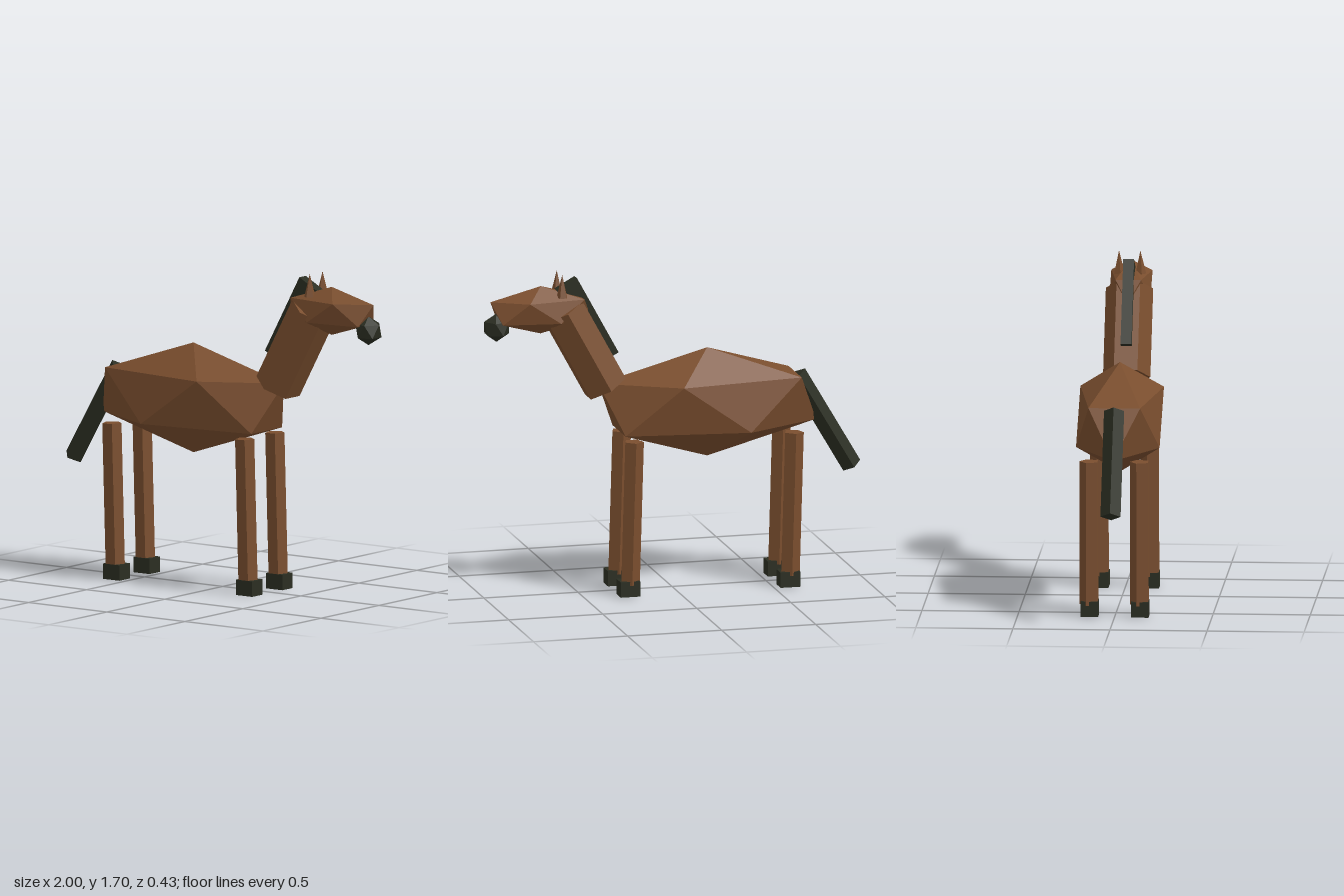
import * as THREE from 'three';

export function createModel() {
  const model = new THREE.Group();
  const coat = new THREE.MeshStandardMaterial({ color: 0x7a4e2e, flatShading: true });
  coat.name = 'brown coat';
  const dark = new THREE.MeshStandardMaterial({ color: 0x2b2e22, flatShading: true });
  dark.name = 'dark hair and hoof';

  function add(name, geometry, material, x, y, z = 0, lean = 0) {
    const mesh = new THREE.Mesh(geometry, material);
    mesh.name = name;
    mesh.position.set(x, y, z);
    mesh.rotation.z = -lean; // positive leans the top towards the head (+x)
    model.add(mesh);
    return mesh;
  }

  // Icosahedron standing on a corner, stretched to the given radii
  function gem(rx, ry, rz) {
    const g = new THREE.IcosahedronGeometry(1, 0);
    g.rotateZ(-Math.atan2(1, (1 + Math.sqrt(5)) / 2));
    return g.scale(rx, ry, rz);
  }

  // Body, neck and head
  add('body', gem(0.647, 0.286, 0.253), coat, -0.187, 0.967);
  add('neck', new THREE.CylinderGeometry(0.122, 0.122, 0.48, 6), coat, 0.469, 1.29, 0, 0.5);
  add('head', gem(0.299, 0.125, 0.125), coat, 0.698, 1.505);
  add('muzzle', gem(0.075, 0.075, 0.075), dark, 0.933, 1.425);

  // Mane and tail
  add('mane', new THREE.BoxGeometry(0.123, 0.46, 0.056), dark, 0.455, 1.434, 0, 0.5);
  add('tail', new THREE.CylinderGeometry(0.052, 0.052, 0.58, 4), dark, -0.809, 0.833, 0, 0.53);

  // Legs: five-sided, leaning slightly, each on a block hoof
  const leg = new THREE.CylinderGeometry(0.052, 0.052, 0.75, 5).rotateY(Math.PI);
  const hoof = new THREE.BoxGeometry(0.104, 0.08, 0.09);
  const ear = new THREE.ConeGeometry(0.03, 0.12, 5);
  for (const [side, s] of [['left', -1], ['right', 1]]) {
    for (const [end, x] of [['front', 0.248], ['rear', -0.602]]) {
      add(`${end} ${side} leg`, leg, coat, x, 0.435, s * 0.13, -0.029);
      add(`${end} ${side} hoof`, hoof, dark, x + 0.018, 0.04, s * 0.13);
    }
    add(`${side} ear`, ear, coat, 0.598, 1.635, s * 0.055);
  }

  return model;
}
